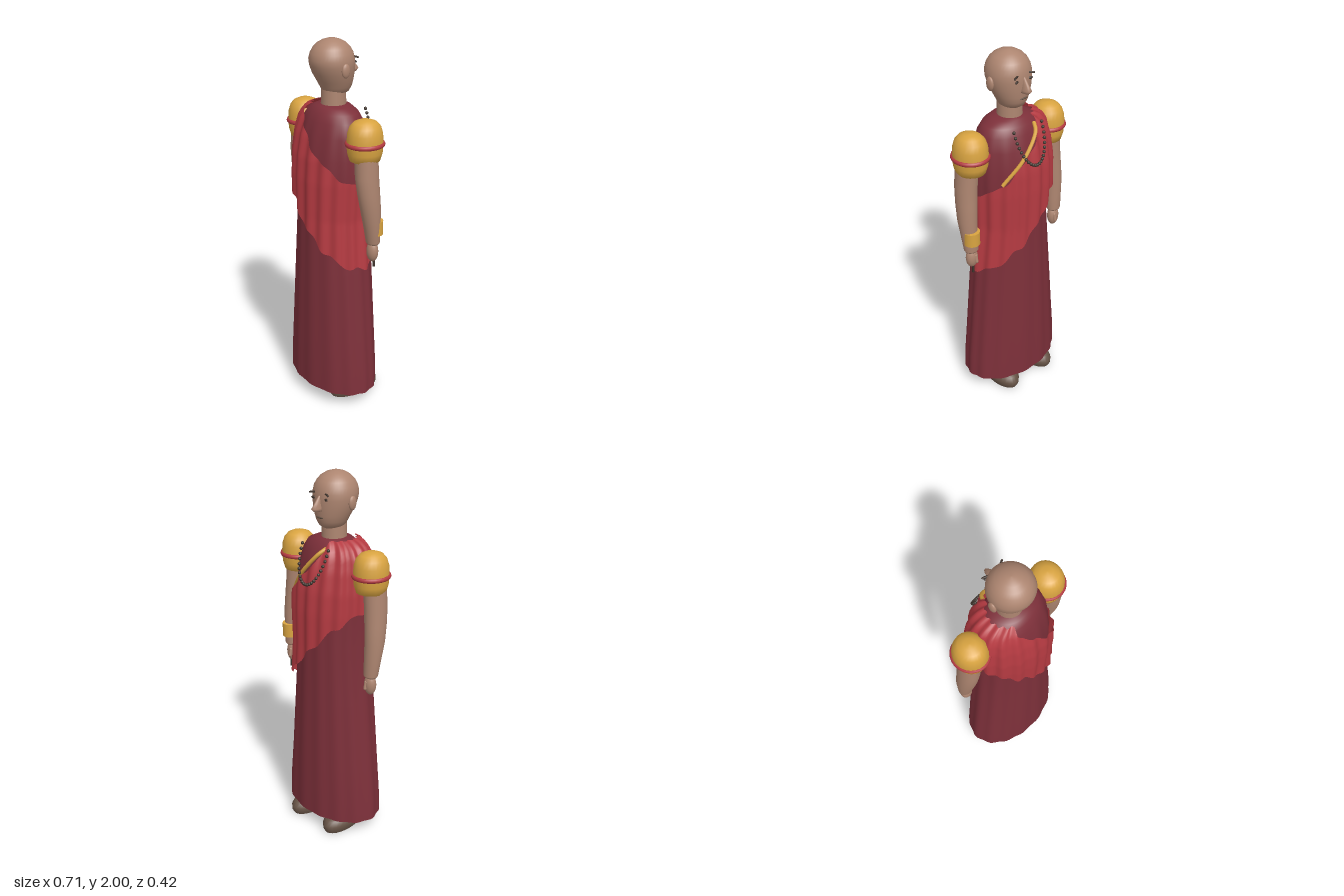
import * as THREE from 'three';

const mat = (name, color, side = THREE.FrontSide) => {
  const m = new THREE.MeshStandardMaterial({ color, side });
  m.name = name;
  return m;
};

// Skin over a grid of points: rows go up, columns go round and close
function gridGeometry(rows, cols, point) {
  const pos = [], idx = [];
  for (let i = 0; i < rows; i++)
    for (let j = 0; j < cols; j++) pos.push(...point(i, (j / cols) * Math.PI * 2));
  for (let i = 0; i < rows - 1; i++)
    for (let j = 0; j < cols; j++) {
      const a = i * cols + j, c = i * cols + ((j + 1) % cols);
      idx.push(a, a + cols, c, a + cols, c + cols, c);
    }
  const g = new THREE.BufferGeometry();
  g.setAttribute('position', new THREE.Float32BufferAttribute(pos, 3));
  g.setIndex(idx);
  g.computeVertexNormals();
  return g;
}

// Oval cross-sections from bottom to top: [y, centreX, centreZ, radiusX, radiusZ]
const loft = (rings, cols = 32, ripple = () => 1) =>
  gridGeometry(rings.length, cols, (i, t) => {
    const [y, x, z, rx, rz] = rings[i], k = ripple(t, y);
    return [x + rx * k * Math.cos(t), y, z + rz * k * Math.sin(t)];
  });

// Robe outline: [y, radiusX, radiusZ]
const ROBE = [
  [0.085, 0.297, 0.198], [0.2, 0.292, 0.198], [0.4, 0.272, 0.194], [0.8, 0.235, 0.184],
  [1.1, 0.208, 0.176], [1.3, 0.214, 0.178], [1.42, 0.212, 0.172], [1.53, 0.2, 0.153],
  [1.6, 0.182, 0.13], [1.64, 0.155, 0.11], [1.665, 0.1, 0.085], [1.672, 0.06, 0.06],
];
function robeRadii(y) {
  let i = 0;
  while (i < ROBE.length - 2 && ROBE[i + 1][0] < y) i++;
  const [a, b] = [ROBE[i], ROBE[i + 1]];
  const t = THREE.MathUtils.clamp((y - a[0]) / (b[0] - a[0]), 0, 1);
  return [a[1] + (b[1] - a[1]) * t, a[2] + (b[2] - a[2]) * t];
}

export function createModel() {
  const skin = mat('skin', 0xad8570);
  const maroon = mat('maroon cloth', 0x7d303a);
  const red = mat('red cloth', 0xb43a41, THREE.DoubleSide);
  const gold = mat('gold', 0xd9a441);
  const leather = mat('shoe leather', 0x655245);
  const dark = mat('dark beads', 0x3f342d);
  const model = new THREE.Group();
  const add = (name, geometry, material, x = 0, y = 0, z = 0, parent = model) => {
    const m = new THREE.Mesh(geometry, material);
    m.name = name;
    m.position.set(x, y, z);
    parent.add(m);
    return m;
  };

  // Long robe with soft pleats and a closed, sharp hem
  const body = ROBE.map(([y, rx, rz]) => [y, 0, 0, rx, rz]);
  add('robe', loft([[0.085, 0, 0, 0, 0], body[0], ...body], 96,
    (t, y) => 1 + (y < 1.6 ? 0.014 : 0) * Math.cos(14 * t + 0.6 * Math.sin(3 * t))), maroon);

  // Sash wound from one shoulder down to the opposite hip
  const rows = 24;
  add('sash', gridGeometry(rows + 1, 120, (i, t) => {
    const c = Math.cos(t), s = Math.sin(t);
    const top = Math.min(1.666, 1.545 - 0.245 * c + 0.008 * Math.sin(9 * t));
    const low = 1.08 - 0.245 * c + 0.012 * Math.sin(11 * t);
    const y = low + (top - low) * (i / rows);
    const [rx, rz] = robeRadii(y);
    const out = 0.024 + 0.007 * Math.cos(17 * t + 2 * y);
    return [(rx + out) * c, y + (y > 1.64 ? 0.006 : 0), (rz + out) * s];
  }), red);

  // Neck and head
  add('neck', new THREE.CylinderGeometry(0.062, 0.066, 0.16, 32), skin, 0, 1.7, -0.002);
  const head = new THREE.Group();
  head.name = 'head';
  model.add(head);
  add('skull', loft([
    [1.71, 0, -0.012, 0, 0], [1.715, 0, -0.012, 0.04, 0.045], [1.735, 0, -0.015, 0.064, 0.07],
    [1.76, 0, -0.015, 0.078, 0.083], [1.79, 0, -0.01, 0.091, 0.094], [1.83, 0, 0, 0.106, 0.107],
    [1.87, 0, 0.007, 0.114, 0.115], [1.9, 0, 0.01, 0.114, 0.116], [1.93, 0, 0.01, 0.106, 0.109],
    [1.955, 0, 0.01, 0.092, 0.095], [1.975, 0, 0.01, 0.073, 0.075], [1.99, 0, 0.01, 0.047, 0.049],
    [1.998, 0, 0.01, 0.022, 0.023], [2.0, 0, 0.01, 0, 0],
  ], 40), skin, 0, 0, 0, head);
  // Nose widens downward and leans out of the face
  add('nose', loft([
    [1.815, 0, -0.105, 0, 0], [1.818, 0, -0.112, 0.02, 0.03], [1.832, 0, -0.118, 0.018, 0.038],
    [1.855, 0, -0.11, 0.012, 0.028], [1.89, 0, -0.1, 0.007, 0.01], [1.9, 0, -0.095, 0, 0],
  ], 16), skin, 0, 0, 0, head);
  const lips = add('mouth', new THREE.SphereGeometry(1, 16, 8), leather, 0, 1.782, -0.103, head);
  lips.position.set(0, 1.782, -0.103);
  lips.scale.set(0.024, 0.005, 0.005);
  for (const s of [-1, 1]) {
    const ear = add('ear', new THREE.SphereGeometry(1, 16, 12), skin, s * 0.116, 1.855, 0.008, head);
    ear.scale.set(0.013, 0.036, 0.024);
    const eye = add('eye', new THREE.SphereGeometry(1, 16, 10), dark, s * 0.042, 1.876, -0.1, head);
    eye.scale.set(0.015, 0.007, 0.006);
    eye.rotation.y = s * 0.38;
    const brow = add('eyebrow', new THREE.CapsuleGeometry(0.005, 0.036, 4, 8), dark,
      s * 0.045, 1.902, -0.1, head);
    brow.rotation.set(0, s * 0.42, Math.PI / 2 - s * 0.12, 'YXZ');
  }

  // Arms, puffed sleeves, hands and shoes
  for (const s of [-1, 1]) {
    const arm = new THREE.Group();
    arm.name = s > 0 ? 'leftArm' : 'rightArm';
    model.add(arm);
    add('sleeve', loft([
      [1.435, 0, 0, 0.05, 0.05], [1.44, 0, 0, 0.075, 0.078], [1.48, 0, 0, 0.086, 0.09],
      [1.53, 0, 0, 0.089, 0.093], [1.575, 0, 0, 0.086, 0.09], [1.61, 0, 0, 0.074, 0.08],
      [1.632, 0, 0, 0.055, 0.06], [1.643, 0, 0, 0.03, 0.03], [1.645, 0, 0, 0, 0],
    ], 24), gold, s * 0.258, 0, -0.004, arm);
    const band = add('sleeveBand', new THREE.TorusGeometry(0.087, 0.011, 8, 32), red,
      s * 0.258, 1.523, -0.004, arm);
    band.rotation.x = Math.PI / 2;
    band.scale.set(1, 1.04, 1.1);
    add('forearm', loft([
      [0.985, s * 0.296, -0.035, 0, 0], [0.99, s * 0.296, -0.035, 0.034, 0.03],
      [1.0, s * 0.296, -0.035, 0.04, 0.035], [1.08, s * 0.298, -0.026, 0.045, 0.042],
      [1.18, s * 0.3, -0.014, 0.05, 0.054], [1.27, s * 0.294, -0.004, 0.053, 0.06],
      [1.36, s * 0.287, 0.003, 0.055, 0.063], [1.5, s * 0.275, 0.003, 0.056, 0.063],
    ], 24), skin, 0, 0, 0, arm);
    add('hand', new THREE.SphereGeometry(1, 20, 14), skin, s * 0.294, 0.945, -0.035, arm)
      .scale.set(0.034, 0.058, 0.029);
    const thumb = add('thumb', new THREE.CapsuleGeometry(0.009, 0.035, 4, 8), skin,
      s * 0.285, 0.945, -0.06, arm);
    thumb.rotation.x = 0.2;

    const shoe = add('shoe', loft([
      [0, 0, 0, 0, 0], [0, 0, 0, 0.068, 0.14], [0, 0, 0, 0.068, 0.14], [0.02, 0, 0, 0.077, 0.151],
      [0.045, 0, 0, 0.079, 0.152], [0.07, 0, 0.005, 0.07, 0.138], [0.09, 0, 0.01, 0.045, 0.1],
      [0.1, 0, 0.01, 0, 0],
    ], 28), leather, s * 0.123, 0, -0.05);
    shoe.rotation.y = -s * 0.06;
  }
  add('bracelet', new THREE.CylinderGeometry(0.043, 0.043, 0.075, 24), gold, 0.298, 1.08, -0.044);
  add('ringStick', new THREE.CylinderGeometry(0.007, 0.007, 0.06, 10), dark, 0.295, 0.885, -0.045);

  // Bead string hanging on the chest
  const beads = new THREE.Group();
  beads.name = 'beadString';
  model.add(beads);
  const beadShape = new THREE.SphereGeometry(0.0085, 10, 8);
  for (let i = 0; i <= 22; i++) {
    const a = (i / 22) * Math.PI, k = Math.sin(a);
    add('bead', beadShape, dark, -0.092 * Math.cos(a), 1.64 - 0.18 * k, -0.135 - 0.072 * k, beads);
  }

  // Gold cord across the chest
  const cord = new THREE.CatmullRomCurve3([
    [-0.058, 1.64, -0.115], [-0.035, 1.61, -0.152], [0.06, 1.5, -0.174], [0.165, 1.37, -0.133],
  ].map((p) => new THREE.Vector3(...p)));
  add('chestCord', new THREE.TubeGeometry(cord, 24, 0.01, 8), gold);

  return model;
}
